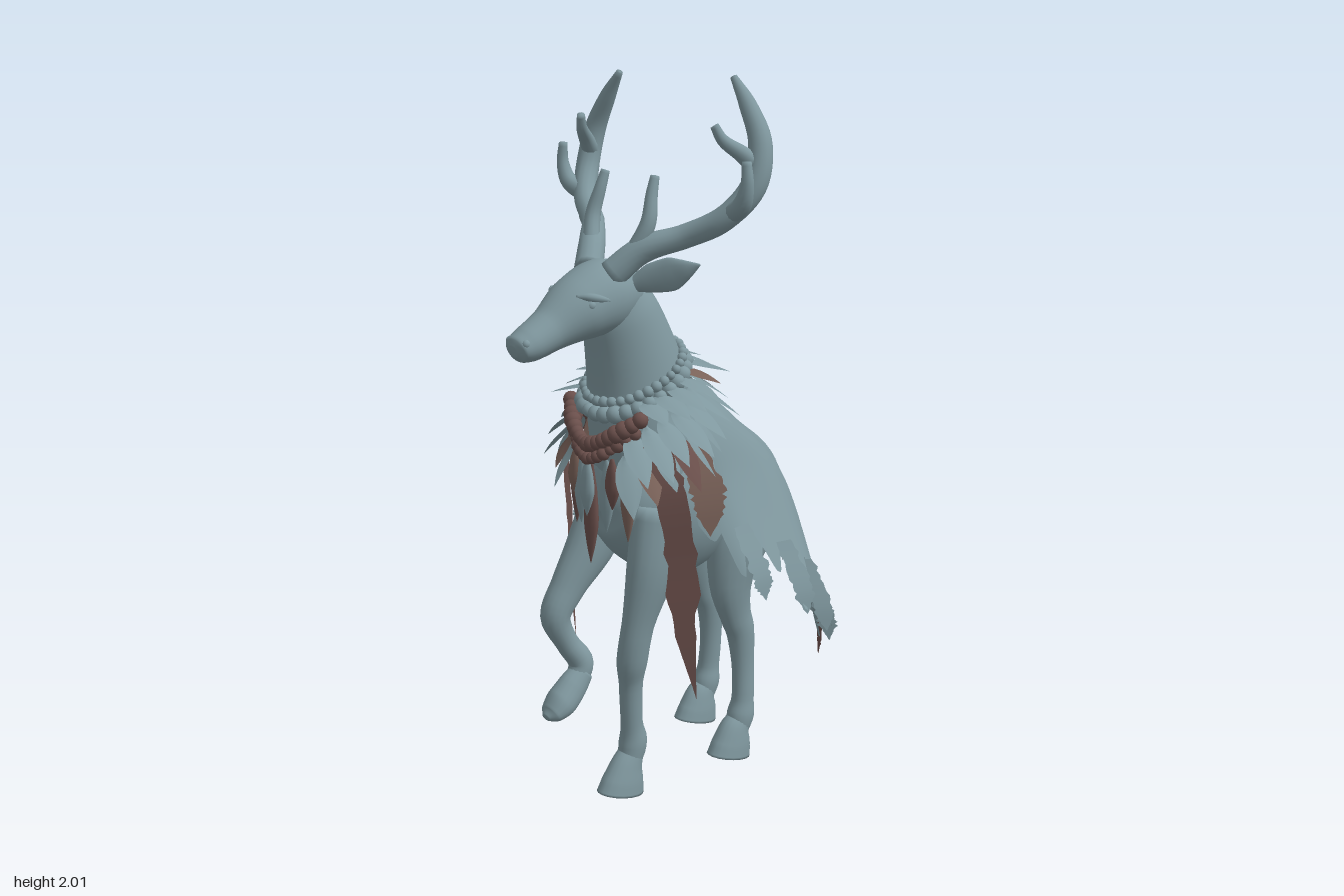
import * as THREE from 'three';

const V = (x, y, z) => new THREE.Vector3(x, y, z);
const mat = (name, color, side = THREE.FrontSide) => {
  const m = new THREE.MeshStandardMaterial({ color, side });
  m.name = name;
  return m;
};

// small seeded random
function seeded(seed) {
  return () => (seed = (seed * 16807) % 2147483647) / 2147483647;
}

// closed tube through [x, y, z, width radius, depth radius]; ref gives the width direction
function loft(rows, ref = V(1, 0, 0), seg = 32, sides = 18) {
  const path = new THREE.CatmullRomCurve3(rows.map(r => V(r[0], r[1], r[2])));
  const size = new THREE.CatmullRomCurve3(rows.map(r => V(r[3], r[4] ?? r[3], 0)));
  const pos = [], index = [];
  for (let i = 0; i <= seg; i++) {
    const c = path.getPoint(i / seg), t = path.getTangent(i / seg), s = size.getPoint(i / seg);
    const b = ref.clone().addScaledVector(t, -ref.dot(t)).normalize(), n = t.clone().cross(b);
    for (let j = 0; j < sides; j++) {
      const a = j / sides * Math.PI * 2;
      const p = c.clone().addScaledVector(b, Math.cos(a) * s.x).addScaledVector(n, Math.sin(a) * s.y);
      pos.push(p.x, p.y, p.z);
      if (i < seg) {
        const p0 = i * sides + j, p1 = i * sides + (j + 1) % sides;
        index.push(p0, p1, p1 + sides, p0, p1 + sides, p0 + sides);
      }
    }
  }
  // end caps
  [rows[0], rows[rows.length - 1]].forEach((r, k) => {
    const c = pos.length / 3, base = k * seg * sides;
    pos.push(r[0], r[1], r[2]);
    for (let j = 0; j < sides; j++) {
      const p = base + j, q = base + (j + 1) % sides;
      index.push(c, k ? p : q, k ? q : p);
    }
  });
  return build(pos, index);
}

// open surface from a function of u and v
function sheet(fn, nu, nv) {
  const pos = [], index = [];
  for (let i = 0; i <= nu; i++) for (let j = 0; j <= nv; j++) {
    pos.push(...fn(i / nu, j / nv).toArray());
    if (i < nu && j < nv) {
      const a = i * (nv + 1) + j, b = a + nv + 1;
      index.push(a, b, b + 1, a, b + 1, a + 1);
    }
  }
  return build(pos, index);
}

function build(pos, index) {
  const g = new THREE.BufferGeometry();
  g.setAttribute('position', new THREE.Float32BufferAttribute(pos, 3));
  g.setIndex(index);
  g.computeVertexNormals();
  return g;
}

// ragged strip of cloth along a path
function ribbon(points, width, across, seed) {
  const path = new THREE.CatmullRomCurve3(points), rnd = seeded(seed);
  const rag = Array.from({ length: 25 }, () => 0.8 + 0.4 * rnd());
  return sheet((u, v) => {
    const w = width * rag[Math.round(u * 24)] * Math.min(1, (1 - u) * 3);
    return path.getPoint(u).addScaledVector(across, (v - 0.5) * w);
  }, 24, 2);
}

export function createModel() {
  const model = new THREE.Group();
  const hide = mat('slate grey', 0x7f979e), cloth = mat('slate cloth', 0x7f979e, THREE.DoubleSide);
  const brown = mat('dark brown', 0x6a4f4b, THREE.DoubleSide), tan = mat('light brown', 0x7a6259, THREE.DoubleSide);
  const add = (name, geo, m = hide) => {
    const mesh = new THREE.Mesh(geo, m);
    mesh.name = name;
    model.add(mesh);
    return mesh;
  };

  // body, neck, head, tail
  add('torso', loft([[0, .93, .2, .05, .06], [0, .92, .16, .11, .13], [0, .87, .04, .15, .2], [0, .84, -.06, .16, .23],
    [0, .83, -.18, .16, .19], [0, .82, -.3, .15, .14], [0, .82, -.36, .11, .1], [0, .82, -.4, .04, .04]], undefined, 40, 28));
  add('neck', loft([[0, .9, .05, .13, .13], [0, 1.1, .065, .135, .145], [0, 1.2, .075, .13, .14],
    [0, 1.3, .1, .115, .125], [0, 1.4, .135, .098, .105], [0, 1.48, .17, .07, .07]], undefined, 32, 28));
  add('head', loft([[0, 1.45, .08, .04, .04], [0, 1.453, .12, .078, .075], [0, 1.447, .2, .095, .098], [0, 1.425, .28, .088, .085],
    [0, 1.385, .37, .06, .056], [0, 1.358, .44, .052, .045], [0, 1.35, .472, .042, .034], [0, 1.347, .483, .015, .015]], undefined, 44, 28));
  add('tail', loft([[0, .84, -.38, .04, .03], [0, .78, -.43, .055, .03], [0, .67, -.46, .042, .022], [0, .57, -.465, .004, .004]]));

  // ears, eyes, nostrils and antlers, mirrored
  for (const s of [1, -1]) {
    const m = rows => rows.map(r => [r[0] * s, ...r.slice(1)]);
    add('ear', loft(m([[.065, 1.48, .14, .02, .02], [.11, 1.5, .12, .038, .018], [.16, 1.515, .1, .043, .014],
      [.2, 1.53, .085, .026, .01], [.235, 1.545, .07, .003, .003]]), V(0, 1, 0), 20, 12));
    add('brow', loft(m([[.05, 1.47, .32, .006], [.076, 1.468, .29, .011], [.086, 1.455, .24, .006]]), V(0, 1, 0), 12, 10));
    const eye = add('eye', new THREE.SphereGeometry(.014, 14, 10));
    eye.position.set(s * .072, 1.447, .29);
    const nostril = add('nostril', new THREE.SphereGeometry(.012, 12, 8));
    nostril.position.set(s * .032, 1.368, .465);
    const Z = V(0, 0, 1);
    add('antlerBeam', loft(m([[.045, 1.51, .2, .038], [.1, 1.575, .14, .035], [.18, 1.61, .07, .031], [.27, 1.66, .02, .032],
      [.32, 1.74, -.03, .033], [.315, 1.84, -.055, .03], [.265, 1.93, -.06, .022], [.215, 1.995, -.06, .009]]), Z, 44, 14));
    add('innerTine', loft(m([[.08, 1.56, .16, .024], [.108, 1.64, .13, .021], [.1, 1.71, .11, .016], [.096, 1.755, .095, .012]]), V(1, 0, 0), 16, 12));
    add('outerTine', loft(m([[.28, 1.67, .01, .026], [.335, 1.7, .025, .024], [.355, 1.75, .03, .017], [.352, 1.805, .03, .012]]), Z, 16, 12));
    add('upperTine', loft(m([[.32, 1.78, -.045, .026], [.3, 1.815, -.01, .021], [.27, 1.85, .03, .015], [.255, 1.885, .045, .011]]), V(1, 0, 0), 16, 12));
  }

  // charm hanging from the right antler
  const charm = [[V(-.27, 1.66, 0), V(-.288, 1.61, .02), V(-.272, 1.57, .01), V(-.272, 1.53, 0)],
    [V(-.27, 1.64, 0), V(-.25, 1.6, -.02), V(-.268, 1.57, -.01), V(-.26, 1.55, .005)]];
  for (const p of charm) add('antlerCharm', new THREE.TubeGeometry(new THREE.CatmullRomCurve3(p), 14, .008, 6));

  // legs
  const hoof = (x, y, z) => add('hoof', loft([[x, .125, z - .012, .033, .038], [x, y + .075, z + .01, .04, .054],
    [x, y + .035, z + .024, .047, .07], [x, y, z + .034, .05, .08]], undefined, 16));
  add('leftFrontLeg', loft([[.1, .87, .07, .06, .1], [.1, .7, .11, .058, .08], [.085, .53, .15, .04, .05], [.07, .43, .157, .041, .047],
    [.058, .35, .152, .032, .036], [.05, .22, .143, .03, .033], [.045, .15, .135, .038, .044], [.045, .09, .15, .032, .036]]));
  hoof(.045, .01, .15);
  add('rightFrontLeg', loft([[-.1, .87, .07, .06, .1], [-.11, .72, .15, .057, .08], [-.12, .61, .228, .046, .055], [-.125, .53, .272, .043, .044],
    [-.115, .44, .24, .032, .034], [-.105, .37, .2, .036, .037], [-.1, .32, .22, .03, .034]]));
  add('raisedHoof', loft([[-.1, .345, .2, .033, .036], [-.1, .31, .235, .04, .046], [-.1, .275, .275, .046, .046], [-.1, .25, .315, .038, .028], [-.1, .243, .335, .015, .01]]));
  for (const [s, dz] of [[1, 0], [-.9, -.08]]) {
    add('hindLeg', loft([[.1, .88, -.26, .05, .09], [.11, .74, -.225, .07, .12], [.11, .58, -.19, .052, .075], [.11, .47, -.21, .038, .052],
      [.11, .41, -.232, .037, .046], [.115, .28, -.242, .03, .036], [.12, .19, -.238, .031, .036], [.12, .14, -.23, .038, .044], [.12, .09, -.215, .032, .036]]
      .map(r => [r[0] * s, r[1], r[2] + dz, r[3], r[4]])));
    hoof(.12 * s, .022, -.215 + dz);
  }

  // cloak: half rings from collar to hem, front edge to centre back
  const halves = [
    [[.13, 1.15, .12], [.14, 1.17, .08], [.14, 1.18, .04], [.125, 1.19, 0], [.1, 1.2, -.03], [.07, 1.2, -.055], [.035, 1.2, -.07], [0, 1.2, -.075]],
    [[.18, 1.08, .09], [.19, 1.08, .03], [.185, 1.08, -.05], [.165, 1.08, -.12], [.14, 1.07, -.17], [.1, 1.06, -.21], [.05, 1.06, -.235], [0, 1.06, -.24]],
    [[.2, .96, .07], [.235, .95, -.03], [.235, .94, -.14], [.22, .92, -.24], [.185, .9, -.31], [.14, .88, -.355], [.075, .89, -.405], [0, .9, -.435]],
    [[.26, .76, .06], [.38, .68, -.03], [.43, .58, -.16], [.43, .52, -.26], [.36, .44, -.35], [.26, .38, -.41], [.12, .54, -.415], [0, .6, -.485]]];
  const rings = halves.map(h => new THREE.CatmullRomCurve3(
    [...h, ...h.slice(0, -1).reverse().map(p => [-p[0], p[1], p[2]])].map(p => V(...p))));
  const rnd = seeded(77), teeth = Array.from({ length: 31 }, (_, i) => (i % 3 === 1 ? .85 : .3) + .2 * rnd());
  const cloakPoint = (u, v) => new THREE.CatmullRomCurve3(rings.map(r => r.getPoint(u))).getPoint(v);
  add('cloak', sheet((u, v) => {
    const k = Math.min(29.999, u * 30), f = k % 1;
    const tooth = Math.min(1, 1.35 * (1 - Math.abs(2 * f - 1)));
    return cloakPoint(u, v * (.86 + .14 * teeth[Math.floor(k)] * tooth));
  }, 300, 20), cloth);

  // side and rear streamers
  for (const s of [1, -1]) {
    add('longStreamer', ribbon([V(s * .17, 1.07, .16), V(s * .215, .95, .15), V(s * .235, .75, .125), V(s * .24, .58, .12), V(s * .26, .35, .09)],
      .085, V(-s * .65, 0, .75), 11), brown);
    add('shortStreamer', ribbon([V(s * .2, 1.06, .07), V(s * .245, .97, .05), V(s * .26, .9, .05), V(s * .265, .82, .05)],
      .09, V(-s * .5, 0, .86), 23), tan);
    add('rearStreamer', ribbon([V(s * .255, .47, -.41), V(s * .25, .4, -.425), V(s * .24, .31, -.435)], .05, V(.8, 0, s * .5), 5), brown);
    [[.385, .69, -.035], [.415, .62, -.17], [.41, .54, -.26], [.345, .46, -.35], [.265, .46, -.41]].forEach((p, i) => add('hemTatter',
      ribbon([V(s * (p[0] - .07), p[1] + .16, p[2] + .02), V(s * (p[0] - .01), p[1] + .03, p[2]), V(s * p[0] * 1.01, p[1] - .04, p[2] - .005)],
        .07, V(s * .2 * i, 0, -.95 + .15 * i), 31 + i), cloth));
  }

  // feather collar
  const leaf = sheet((u, v) => {
    const w = Math.sin(Math.PI * Math.pow(u, .8)) * .5 + .1 * (1 - u), x = (v - .5) * 2;
    return V(x * w, (1 - Math.abs(x)) * .15 * (1 - u) + .25 * u * (1 - u), u);
  }, 10, 4);
  const thickLeaf = loft([[0, 0, 0, .1, .08], [0, 0, .25, .36, .22], [0, 0, .55, .5, .28], [0, 0, .8, .3, .18], [0, 0, 1, .02, .02]], undefined, 16, 10);
  const feather = (geo, p, dir, len, width, m, up = V(0, 1, 0)) => {
    const f = add('feather', geo, m);
    f.up.copy(up);
    f.position.copy(p);
    f.lookAt(p.clone().add(dir));
    f.scale.set(width, width, len);
  };
  const around = (a, rx, rz, y) => V(Math.sin(a) * rx, y - Math.cos(a) * rz * .5, .085 + Math.cos(a) * rz);
  const layers = [[15, .13, .115, 1.21, -.35, .14, .85], [18, .15, .14, 1.15, -.75, .16, .6], [18, .165, .15, 1.1, -1.4, .16, .5]];
  layers.forEach(([n, rx, rz, y, drop, len, gap], row) => {
    for (let i = 0; i < n; i++) {
      const a = gap + (i + .5) / n * (Math.PI * 2 - 2 * gap), fromEnd = Math.min(i, n - 1 - i), c = Math.cos(a);
      const dark = (row === 0 && fromEnd === 4) || (row === 2 && fromEnd === 1);
      feather(leaf, around(a, rx, rz, y), V(Math.sin(a), drop + .15 * rnd(), c > 0 ? c * .35 : c), len * (.85 + .3 * rnd()), .064,
        dark ? tan : row === 2 && fromEnd === 3 ? brown : cloth);
    }
  });

  // chest feathers
  [[0, 1.0, .28, brown], [-.05, 1.02, .2, hide], [.05, 1.02, .2, hide], [-.1, 1.05, .25, brown], [.1, 1.05, .25, tan],
    [0, 1.02, .16, hide], [-.075, 1.03, .14, tan], [.075, 1.03, .14, brown]].forEach(([x, y, len, m], i) =>
    feather(thickLeaf, V(x, y, .235 - x * x * 4 + (i > 4 ? .015 : 0)), V(x * .3, -1, .03), len, .052, m, V(0, 0, 1)));

  // bead necklaces
  const bead = new THREE.SphereGeometry(1, 12, 8);
  const beads = (name, n, r, m, place) => {
    for (let i = 0; i < n; i++) {
      const b = add(name, bead, m);
      b.position.copy(place(i / n));
      b.scale.setScalar(r * (.85 + .3 * rnd()));
    }
  };
  beads('collarBead', 28, .022, hide, t => around(t * Math.PI * 2, .142, .134, 1.205));
  beads('upperCollarBead', 34, .014, hide, t => around(t * Math.PI * 2, .134, .128, 1.235));
  const swag = (t, w, top, dip) => {
    const x = (t - .5) * 2;
    return V(x * w, top - dip * (1 - Math.abs(x) ** 1.5), .25 - x * x * .07);
  };
  beads('brownBead', 17, .022, brown, t => swag(t + .029, .15, 1.15, .09));
  beads('lowerBrownBead', 15, .018, brown, t => swag(t + .033, .13, 1.11, .09));

  return model;
}
